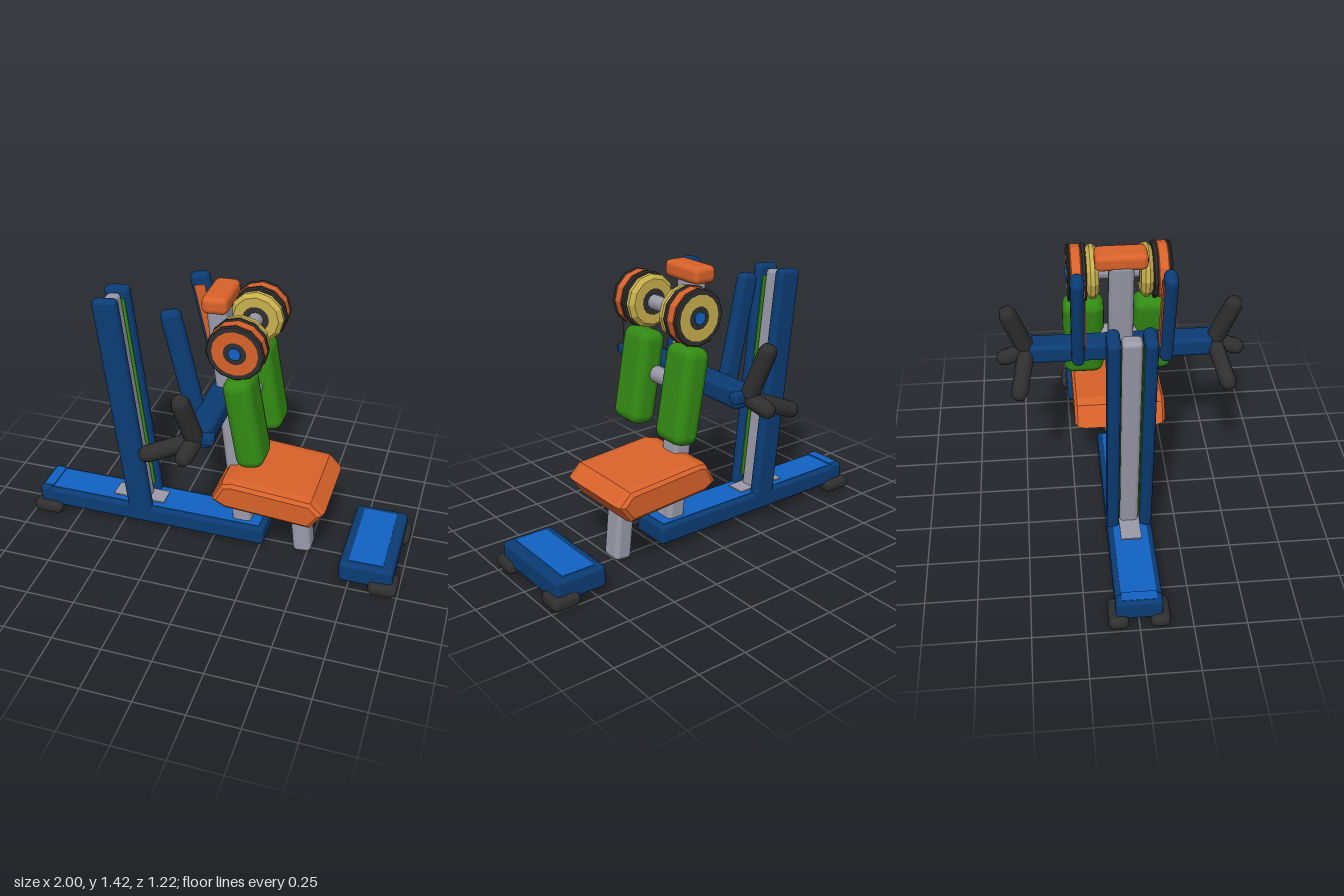
import * as THREE from 'three';
import { RoundedBoxGeometry } from 'three/addons/geometries/RoundedBoxGeometry.js';

const mat = (name, color) => {
  const m = new THREE.MeshStandardMaterial({ color });
  m.name = name;
  return m;
};

export function createModel() {
  const navy = mat('navy frame', 0x0b3c74);
  const blue = mat('bright blue', 0x1062c4);
  const grey = mat('grey metal', 0x9a9aaa);
  const black = mat('black rubber', 0x2f2f2f);
  const orange = mat('orange', 0xd9622a);
  const green = mat('green', 0x338a14);
  const yellow = mat('yellow', 0xc8b04e);

  const model = new THREE.Group();
  model.name = 'shoulderPressMachine';

  function add(name, geometry, material, x = 0, y = 0, z = 0, rz = 0) {
    const m = new THREE.Mesh(geometry, material);
    m.name = name;
    m.position.set(x, y, z);
    m.rotation.z = rz;
    model.add(m);
    return m;
  }
  const block = (name, material, size, pos, r = 0.02, rz = 0) =>
    add(name, new RoundedBoxGeometry(...size, 2, r), material, ...pos, rz);
  const plate = (name, material, size, pos, rz = 0) =>
    add(name, new THREE.BoxGeometry(...size), material, ...pos, rz);
  // Box beam leaning in the xy plane between two points
  function beam(name, material, [x0, y0], [x1, y1], z, width, depth, r = 0.02) {
    const dx = x1 - x0, dy = y1 - y0;
    return block(name, material, [width, Math.hypot(dx, dy), depth],
      [(x0 + x1) / 2, (y0 + y1) / 2, z], r, Math.atan2(-dx, dy));
  }
  // Rounded grip bar between two points
  function rod(name, material, a, b, radius) {
    const A = new THREE.Vector3(...a), B = new THREE.Vector3(...b);
    const dir = B.clone().sub(A);
    const m = add(name, new THREE.CapsuleGeometry(radius, dir.length() - radius, 2, 10), material);
    m.position.copy(A).add(B).multiplyScalar(0.5);
    m.quaternion.setFromUnitVectors(new THREE.Vector3(0, 1, 0), dir.normalize());
  }
  // Chamfered disc with its axis along z
  function disc(name, material, r, z0, z1, c = 0.006) {
    const h = (z1 - z0) / 2;
    const pts = [[0, -h], [r - c, -h], [r, -h + c], [r, h - c], [r - c, h], [0, h]]
      .map(p => new THREE.Vector2(...p));
    const g = new THREE.LatheGeometry(pts, 12).toNonIndexed();
    g.computeVertexNormals();
    g.rotateX(Math.PI / 2);
    add(name, g, material, 0.16, 1.24, (z0 + z1) / 2);
  }
  const ring = (name, material, r0, r1, z, side) => {
    const m = add(name, new THREE.RingGeometry(r0, r1, 16), material, 0.16, 1.24, z);
    if (side < 0) m.rotation.y = Math.PI;
  };

  // Base rail with inset panels and raised end
  block('baseRail', navy, [1.25, 0.1, 0.22], [-0.345, 0.1, 0], 0.02);
  block('railEnd', navy, [0.07, 0.09, 0.22], [-0.935, 0.113, 0], 0.02);
  plate('railTopPanel', blue, [1.15, 0.006, 0.165], [-0.325, 0.15, 0]);
  plate('railEndPanel', blue, [0.05, 0.006, 0.165], [-0.925, 0.157, 0]);
  plate('railBottomPanel', blue, [1.1, 0.006, 0.11], [-0.345, 0.05, 0]);

  // Separate foot rest
  block('footRest', navy, [0.27, 0.112, 0.505], [0.835, 0.102, 0], 0.022);
  plate('footRestPanel', blue, [0.17, 0.006, 0.43], [0.83, 0.158, 0]);

  // Rear guide column
  const lean = Math.atan2(0.135, 1.17);
  plate('columnFootPlate', grey, [0.28, 0.008, 0.1], [-0.42, 0.156, 0]);
  beam('guideBar', grey, [-0.395, 0.13], [-0.533, 1.31], 0, 0.07, 0.09, 0.02);

  // Seat post, seat leg and seat
  beam('seatPost', grey, [0.155, 0.1], [0.005, 1.38], 0, 0.1, 0.12, 0.025);
  beam('seatLeg', grey, [0.435, 0.38], [0.475, 0.015], 0, 0.095, 0.115, 0.025);
  const outline = [[0.065, 0.39], [0.105, 0.465], [0.14, 0.475], [0.53, 0.445],
    [0.575, 0.4], [0.53, 0.335], [0.11, 0.365]].reverse();
  const seatShape = new THREE.Shape(outline.map(p => new THREE.Vector2(...p)));
  const seatGeo = new THREE.ExtrudeGeometry(seatShape, {
    depth: 0.37, bevelEnabled: true, bevelThickness: 0.05, bevelSize: 0.025, bevelSegments: 2,
  });
  add('seat', seatGeo, orange, 0, 0, -0.185);

  // Head rest
  block('headRest', orange, [0.125, 0.085, 0.25], [0.02, 1.389, 0], 0.028, 0.03);

  // Axles and cross bar
  const axle = (name, material, r, len, x, y) =>
    add(name, new THREE.CylinderGeometry(r, r, len, 10), material, x, y, 0).rotation.x = Math.PI / 2;
  axle('weightAxle', grey, 0.037, 0.24, 0.16, 1.24);
  axle('weightHub', blue, 0.03, 0.515, 0.16, 1.24);
  axle('padAxle', grey, 0.042, 0.2, 0.17, 0.885);
  beam('weightBracket', grey, [0.02, 1.22], [0.17, 1.24], 0, 0.06, 0.06, 0.015);
  beam('padBracket', grey, [0.06, 0.875], [0.18, 0.885], 0, 0.07, 0.07, 0.015);
  block('crossBar', navy, [0.125, 0.1, 0.9], [0.043, 0.885, 0], 0.025);

  for (const s of [1, -1]) {
    // Feet
    block('railFoot', black, [0.16, 0.068, 0.095], [-0.92, 0.042, s * 0.097], 0.03);
    block('footRestFoot', black, [0.145, 0.07, 0.14], [0.925, 0.05, s * 0.212], 0.03);

    // Column side posts with coloured inner strips
    beam('columnPost', navy, [-0.392, 0.1], [-0.535, 1.33], s * 0.08, 0.13, 0.06, 0.025);
    plate('columnInnerStrip', green, [0.085, 1.08, 0.006], [-0.465, 0.735, s * 0.049], lean);

    // Swing arms with inner panels
    beam('swingArm', navy, [-0.035, 0.86], [-0.158, 1.395], s * 0.213, 0.1, 0.065, 0.03);
    plate('swingArmPanel', orange, [0.055, 0.4, 0.006], [-0.1, 1.145, s * 0.179], 0.226);

    // Back pads
    block('backPad', green, [0.14, 0.475, 0.205], [0.203, 0.862, s * 0.174], 0.052, 0.18);

    // Weight stack
    const stack = [[yellow, 0.132, 0.1, 0.16], [black, 0.14, 0.158, 0.182],
      [orange, 0.136, 0.18, 0.235], [black, 0.139, 0.233, 0.25]];
    for (const [m, r, a, b] of stack)
      disc('weightDisc', m, r, Math.min(s * a, s * b), Math.max(s * a, s * b), m === yellow ? 0.02 : 0.006);
    ring('weightOuterFace', s > 0 ? orange : yellow, 0.055, 0.11, s * 0.252, s);
    ring('weightInnerFace', black, 0.036, 0.065, s * 0.098, -s);

    // Handles
    block('crossBarCap', navy, [0.07, 0.055, 0.05], [0.095, 0.9, s * 0.45], 0.015);
    const hub = [0.04, 0.89, s * 0.46];
    rod('uprightGrip', black, hub, [-0.003, 1.14, s * 0.545], 0.045);
    rod('rearGrip', black, hub, [-0.2, 0.785, s * 0.505], 0.041);
    rod('sideGrip', black, hub, [0.02, 0.855, s * 0.59], 0.041);
  }
  return model;
}
